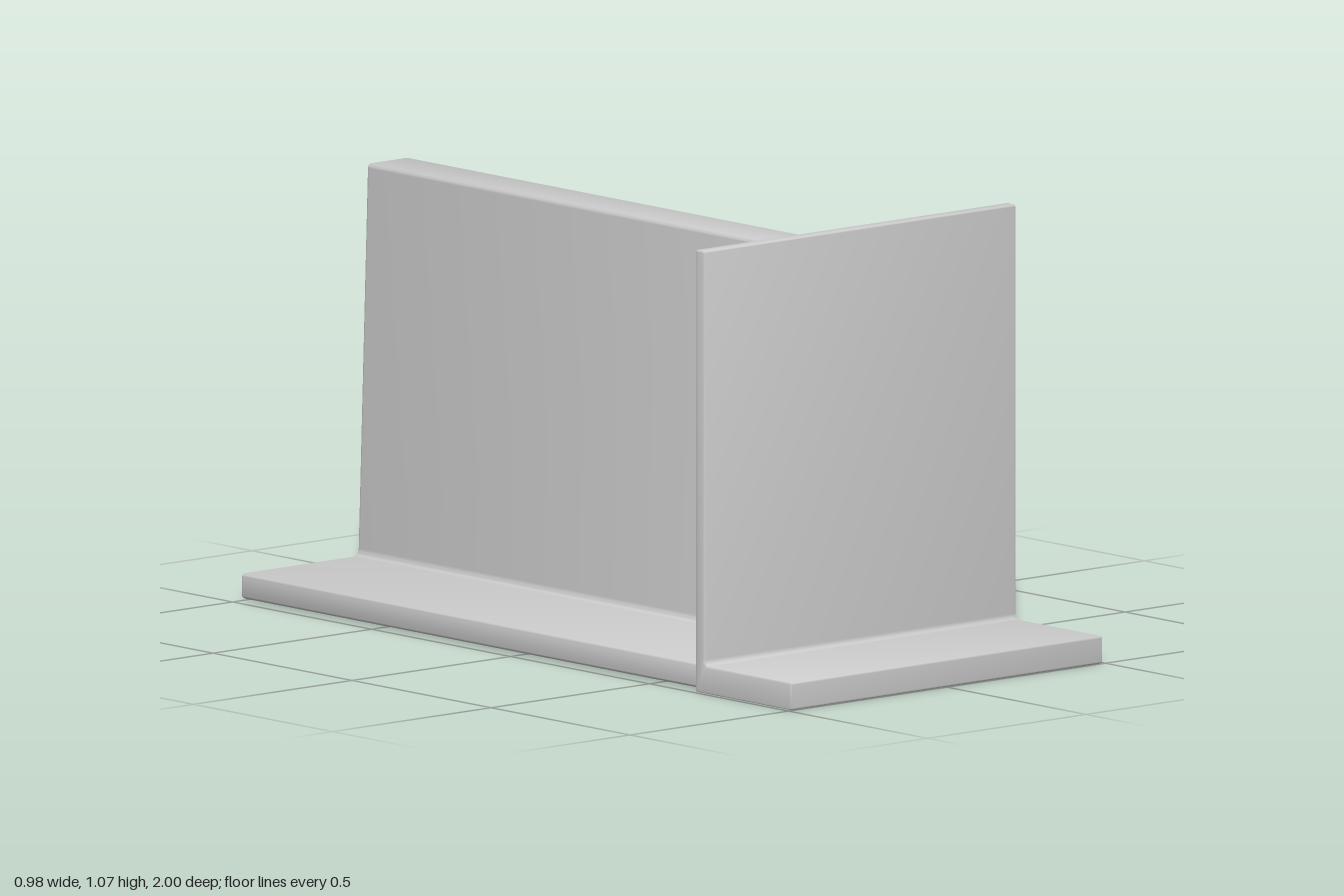
import * as THREE from 'three';
import { toCreasedNormals } from 'three/addons/utils/BufferGeometryUtils.js';

// Closed outline whose corners [x, y, radius] are rounded, concave or convex
function roundedOutline(corners) {
  const shape = new THREE.Shape();
  const n = corners.length;
  corners.forEach(([x, y, r], i) => {
    const corner = new THREE.Vector2(x, y);
    const toward = ([a, b]) => new THREE.Vector2(a, b).sub(corner).setLength(r).add(corner);
    const start = toward(corners[(i + n - 1) % n]);
    const end = toward(corners[(i + 1) % n]);
    if (i === 0) shape.moveTo(start.x, start.y);
    else shape.lineTo(start.x, start.y);
    shape.quadraticCurveTo(x, y, end.x, end.y);
  });
  shape.closePath();
  return shape;
}

// Extrusion of exact overall length with softened end edges
function softExtrude(corners, length, bevel) {
  const geometry = new THREE.ExtrudeGeometry(roundedOutline(corners), {
    depth: length - 2 * bevel,
    curveSegments: 5,
    bevelEnabled: true,
    bevelThickness: bevel,
    bevelSize: bevel,
    bevelOffset: -bevel,
    bevelSegments: 3,
  });
  geometry.translate(0, 0, bevel);
  return geometry;
}

export function createModel() {
  const group = new THREE.Group();
  const material = new THREE.MeshStandardMaterial({ color: 0xcccccc });
  const add = (name, geometry) => {
    const mesh = new THREE.Mesh(toCreasedNormals(geometry, 0.6), material);
    mesh.name = name;
    group.add(mesh);
  };

  // Flat base with a tapering upright web, swept front to back
  const beam = softExtrude([
    [-0.475, 0.005, 0.012], [0.47, 0.005, 0.012],
    [0.47, 0.067, 0.012], [0.083, 0.067, 0.018],
    [0.053, 1.008, 0.012], [-0.077, 1.008, 0.012],
    [-0.107, 0.067, 0.018], [-0.475, 0.067, 0.012],
  ], 1.665, 0.008);
  beam.translate(0, 0, -1);
  add('taperedBeam', beam);

  // Front lip and tall end plate in one angled piece, swept across the width
  const bracket = softExtrude([
    [0.655, 0, 0.006], [1, 0, 0.006],
    [1, 0.067, 0.006], [0.688, 0.067, 0.014],
    [0.688, 1.065, 0.008], [0.655, 1.065, 0.008],
  ], 0.984, 0.005);
  bracket.rotateY(-Math.PI / 2).translate(0.492, 0, 0);
  add('endPlate', bracket);

  return group;
}
